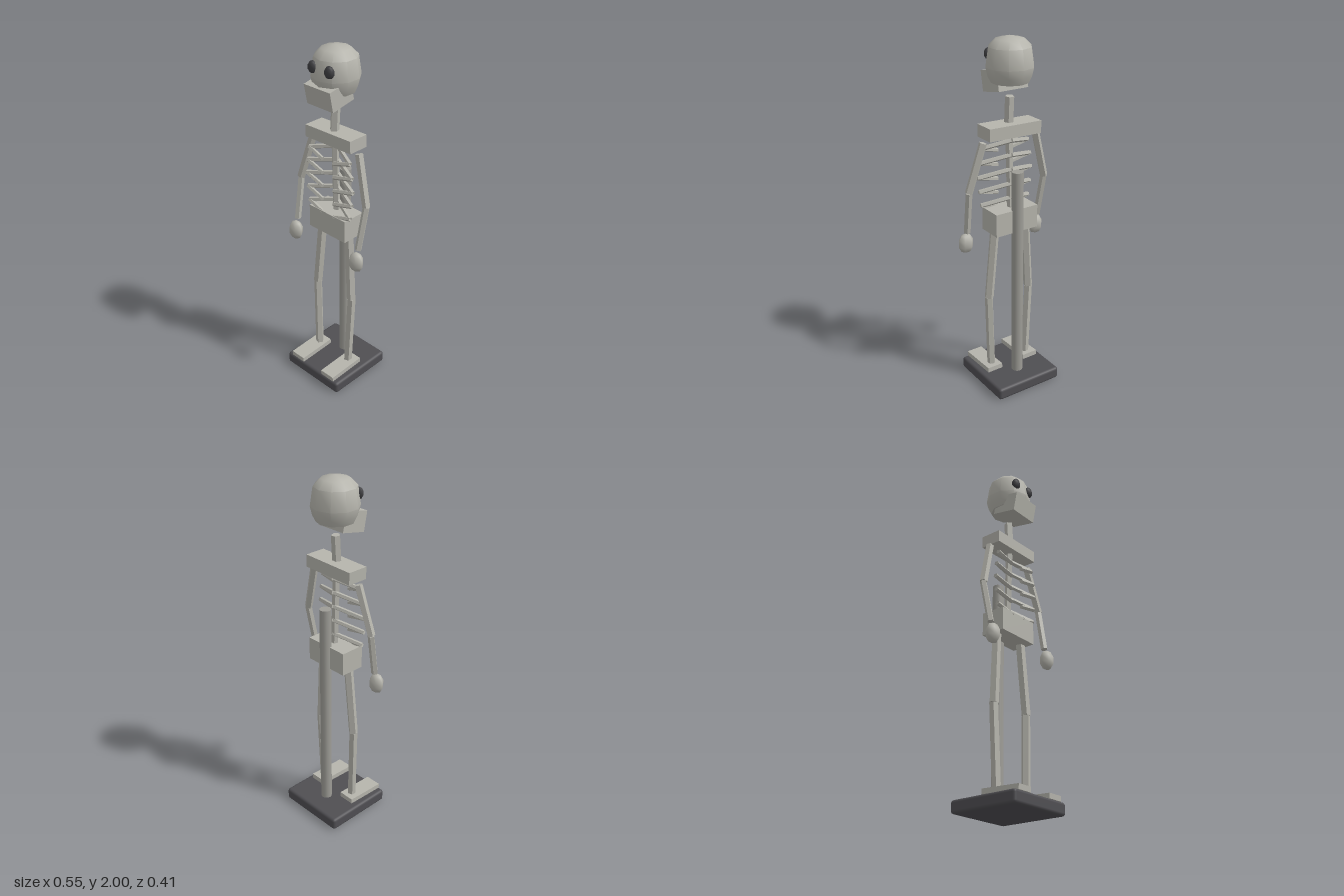
import * as THREE from 'three';
import { toCreasedNormals } from 'three/addons/utils/BufferGeometryUtils.js';
import { RoundedBoxGeometry } from 'three/addons/geometries/RoundedBoxGeometry.js';

export function createModel() {
  const model = new THREE.Group();
  model.name = 'skeletonOnStand';

  const material = (name, color) => {
    const m = new THREE.MeshStandardMaterial({ color });
    m.name = name;
    return m;
  };
  const bone = material('bone', 0xb5b4ac);
  const metal = material('poleMetal', 0x9d9c96);
  const dark = material('standDark', 0x4f4e52);
  const socket = material('eyeSocket', 0x3e3e41);

  const add = (name, geometry, mat, x = 0, y = 0, z = 0) => {
    const mesh = new THREE.Mesh(geometry, mat);
    mesh.name = name;
    mesh.position.set(x, y, z);
    model.add(mesh);
    return mesh;
  };

  // Faceted bone running between two points
  const bar = (name, a, b, radius) => {
    const from = new THREE.Vector3(...a);
    const to = new THREE.Vector3(...b);
    const dir = to.clone().sub(from);
    const geometry = toCreasedNormals(
      new THREE.CylinderGeometry(radius, radius, dir.length(), 5), 0.5);
    const mesh = add(name, geometry, bone);
    mesh.position.copy(from).add(to).multiplyScalar(0.5);
    mesh.quaternion.setFromUnitVectors(new THREE.Vector3(0, 1, 0), dir.normalize());
    return mesh;
  };

  // Stand
  add('base', new RoundedBoxGeometry(0.41, 0.07, 0.41, 2, 0.016), dark, 0, 0.037, 0);
  add('pole', new THREE.CylinderGeometry(0.032, 0.032, 1.23, 12), metal, 0, 0.685, -0.073);

  // Trunk
  add('pelvis', new THREE.BoxGeometry(0.265, 0.13, 0.14), bone, 0, 1.016, 0);
  const shoulders = add('shoulders', new THREE.BoxGeometry(0.32, 0.068, 0.12), bone, 0, 1.517, 0.003);
  shoulders.rotation.z = 0.02;
  bar('spine', [0, 1.06, -0.005], [0, 1.5, 0.008], 0.02);
  bar('neck', [0, 1.5, 0.014], [0, 1.69, 0.002], 0.025);

  // Skull
  const profile = [[0, 1.765], [0.1, 1.765], [0.117, 1.8], [0.128, 1.845],
    [0.113, 1.945], [0.075, 1.983], [0, 2]].map(p => new THREE.Vector2(...p));
  add('skull', toCreasedNormals(new THREE.LatheGeometry(profile, 10), 0.7), bone);
  const jaw = add('jaw', new THREE.BoxGeometry(0.18, 0.11, 0.15), bone, 0, 1.77, 0.05);
  jaw.rotation.x = 0.2;

  for (const s of [1, -1]) {
    const side = s > 0 ? 'left' : 'right';

    const eye = add(side + 'Eye', new THREE.SphereGeometry(1, 7, 5), socket, s * 0.057, 1.897, 0.104);
    eye.scale.set(0.03, 0.033, 0.022);

    // Ribs: back half from the spine, front half returning downwards
    [0.148, 0.163, 0.17, 0.163, 0.152].forEach((w, i) => {
      const y = 1.455 - i * 0.08;
      const outer = [s * w, y - 0.035, 0.05];
      bar(side + 'RibBack' + i, [0, y, -0.012], outer, 0.013);
      bar(side + 'RibFront' + i, outer, [s * 0.04, y - 0.065, 0.06], 0.012);
    });

    // Arm
    const elbow = [s * 0.242, 1.2, 0.025];
    bar(side + 'UpperArm', [s * 0.165, 1.468, 0.002], elbow, 0.022);
    bar(side + 'Forearm', elbow, [s * 0.232, 0.955, 0.07], 0.019);
    const hand = add(side + 'Hand', new THREE.SphereGeometry(1, 6, 5), bone, s * 0.232, 0.885, 0.085);
    hand.scale.set(0.047, 0.058, 0.037);

    // Leg
    const knee = [s * 0.133, 0.55, 0.012];
    bar(side + 'Thigh', [s * 0.1, 0.97, 0], knee, 0.026);
    bar(side + 'Shin', knee, [s * 0.117, 0.1, 0.02], 0.024);
    const foot = add(side + 'Foot', new THREE.BoxGeometry(0.095, 0.028, 0.23), bone, s * 0.122, 0.09, 0.085);
    foot.rotation.x = 0.04;
  }

  return model;
}
